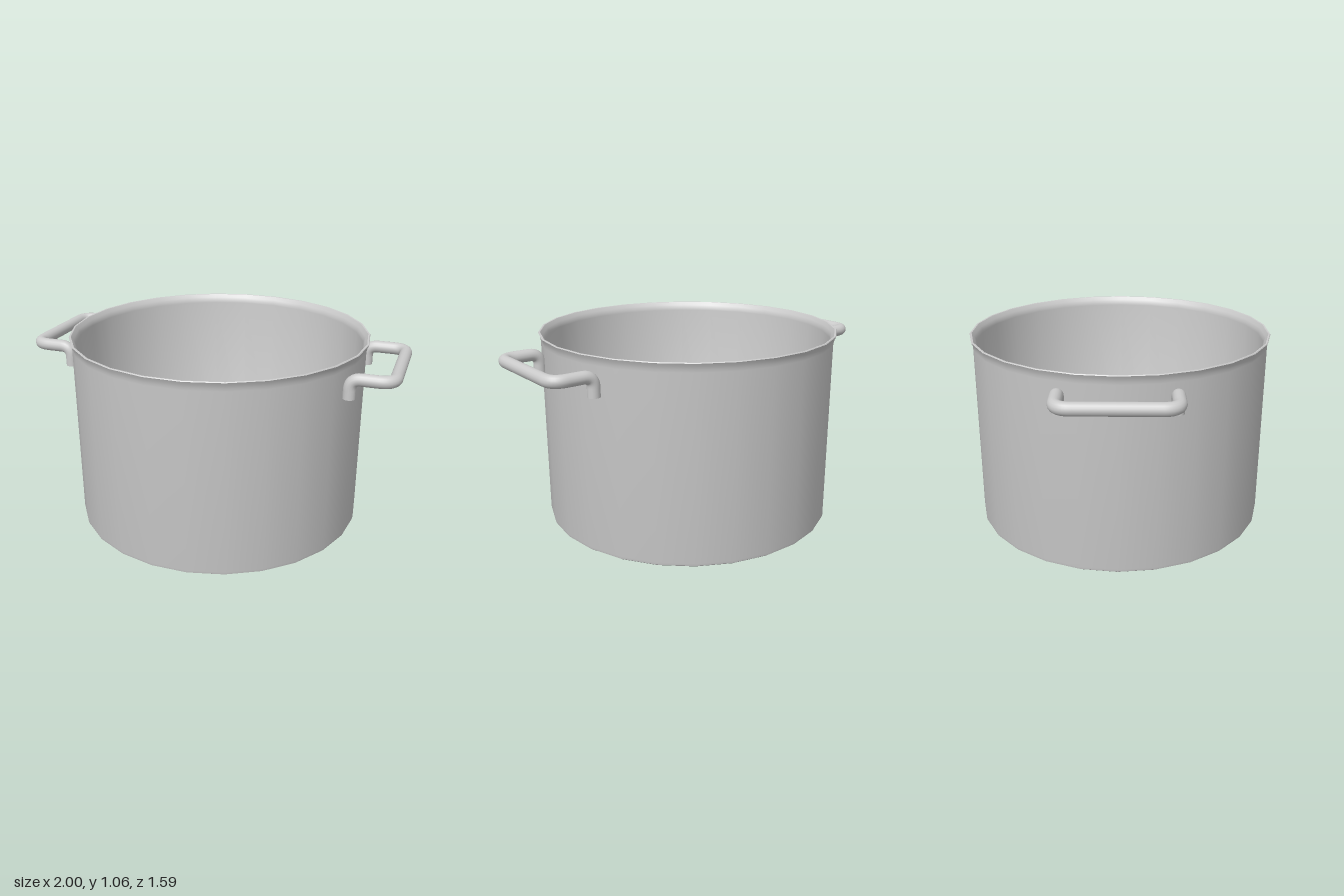
import * as THREE from 'three';
import { toCreasedNormals } from 'three/addons/utils/BufferGeometryUtils.js';

const material = new THREE.MeshStandardMaterial({ color: 0xcccccc });
const SIDES = 26;
const TUBE = 0.032;

// Pot wall: outside from the base up, over the flared rim, then down the inside
function makePot() {
  const profile = [
    [0, 0], [0.65, 0], [0.7, 0.005], [0.74, 0.014], [0.77, 0.026], [0.784, 0.036], [0.787, 0.05],
    [0.787, 1.01], [0.789, 1.025], [0.793, 1.04], [0.8, 1.055], [0.797, 1.059], [0.789, 1.058],
    [0.776, 1.04], [0.769, 1.025], [0.767, 1.01],
    [0.767, 0.075], [0.757, 0.05], [0.735, 0.032], [0.7, 0.025], [0, 0.025],
  ].map(([r, y]) => new THREE.Vector2(r, y));
  // a corner of the polygon points along +x
  const lathe = new THREE.LatheGeometry(profile, SIDES, Math.PI / 2);
  const pot = new THREE.Mesh(toCreasedNormals(lathe, 0.7), material);
  pot.name = 'pot';
  return pot;
}

// Path through corner points, each corner rounded off by its own distance
function roundedPath(corners) {
  const path = new THREE.CurvePath();
  const points = corners.map(([x, y, z]) => new THREE.Vector3(x, y, z));
  let from = points[0];
  for (let i = 1; i < points.length - 1; i++) {
    const cut = corners[i][3];
    const toward = (q) => points[i].clone().add(q.clone().sub(points[i]).setLength(cut));
    const a = toward(points[i - 1]), b = toward(points[i + 1]);
    path.add(new THREE.LineCurve3(from, a));
    path.add(new THREE.QuadraticBezierCurve3(a, points[i], b));
    from = b;
  }
  path.add(new THREE.LineCurve3(from, points[points.length - 1]));
  return path;
}

// Bent rod handle: two legs on the wall, two arms and a straight grip
function makeHandle(name) {
  const legX = 0.757, gripX = 0.968, y = 0.967, foot = 0.865, z = 0.273;
  const path = roundedPath([
    [legX, foot, z], [legX, y, z, 0.055], [gripX, y, z, 0.075],
    [gripX, y, -z, 0.075], [legX, y, -z, 0.055], [legX, foot, -z],
  ]);
  const handle = new THREE.Group();
  handle.name = name;
  const rod = new THREE.Mesh(new THREE.TubeGeometry(path, 96, TUBE, 16), material);
  rod.name = 'handleRod';
  handle.add(rod);
  for (const side of [1, -1]) {
    const cap = new THREE.Mesh(new THREE.CircleGeometry(TUBE, 16), material);
    cap.rotation.x = Math.PI / 2;
    cap.position.set(legX, foot, side * z);
    cap.name = 'legEnd';
    handle.add(cap);
  }
  return handle;
}

export function createModel() {
  const model = new THREE.Group();
  model.name = 'cookingPot';
  const right = makeHandle('rightHandle');
  right.rotation.y = Math.PI;
  model.add(makePot(), makeHandle('leftHandle'), right);
  return model;
}
